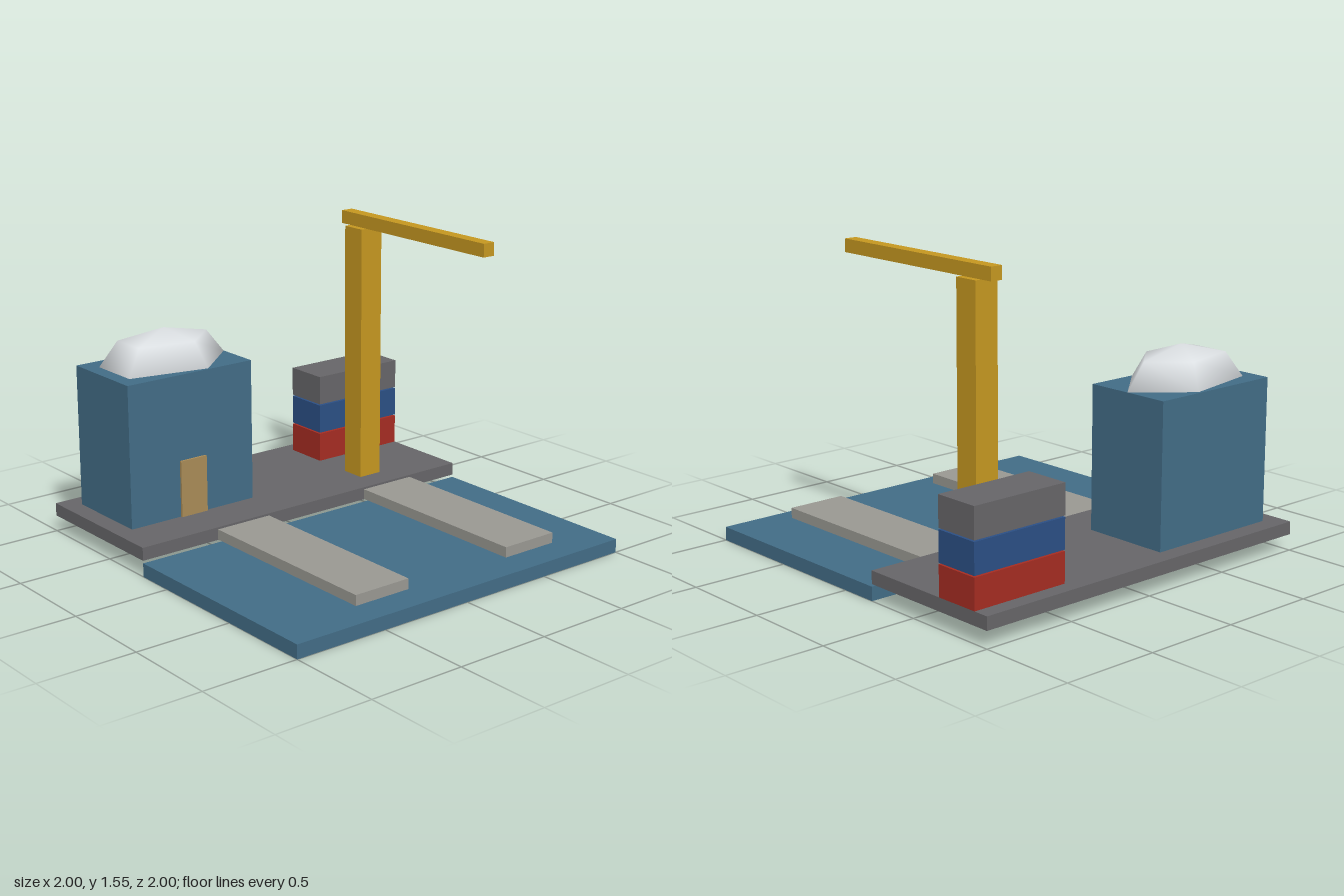
import * as THREE from 'three';

const paint = (name, color) => {
  const m = new THREE.MeshStandardMaterial({ color });
  m.name = name;
  return m;
};

export function createModel() {
  const harbor = new THREE.Group();
  harbor.name = 'harbor';

  const seaBlue = paint('sea blue', 0x426c86);
  const asphalt = paint('asphalt grey', 0x666568);
  const concrete = paint('pale concrete', 0x999892);
  const yellow = paint('crane yellow', 0xc59720);
  const red = paint('container red', 0xa52c22);
  const blue = paint('container blue', 0x2b4f84);
  const wood = paint('door tan', 0xa88b57);
  const white = paint('dome white', 0xdadee1);

  // Box given by its extents on each axis
  const block = (name, material, [x0, x1], [y0, y1], [z0, z1], parent = harbor) => {
    const mesh = new THREE.Mesh(new THREE.BoxGeometry(x1 - x0, y1 - y0, z1 - z0), material);
    mesh.position.set((x0 + x1) / 2, (y0 + y1) / 2, (z0 + z1) / 2);
    mesh.name = name;
    parent.add(mesh);
    return mesh;
  };

  // Water and quay
  block('water', seaBlue, [-1, 1], [0, 0.07], [-0.2, 1]);
  block('quay', asphalt, [-1, 1], [0.083, 0.149], [-1, -0.2]);

  // Two piers reaching over the water
  for (const [name, x] of [['rightPier', -0.402], ['leftPier', 0.533]]) {
    block(name, concrete, [x - 0.157, x + 0.157], [0.085, 0.138], [-0.2, 0.863]);
  }

  // Harbor building with door and five-sided dome
  const building = new THREE.Group();
  building.name = 'building';
  harbor.add(building);
  block('walls', seaBlue, [-0.905, -0.17], [0.149, 0.882], [-0.903, -0.438], building);
  block('door', wood, [-0.614, -0.46], [0.149, 0.442], [-0.44, -0.426], building);
  const dome = new THREE.Mesh(
    new THREE.SphereGeometry(1, 5, 2, 0, Math.PI * 2, 0, Math.PI / 2), white);
  dome.name = 'dome';
  dome.scale.set(0.366, 0.185, 0.232);
  dome.rotation.y = Math.PI;
  dome.position.set(-0.537, 0.881, -0.67);
  building.add(dome);

  // Crane
  const crane = new THREE.Group();
  crane.name = 'crane';
  harbor.add(crane);
  block('mast', yellow, [0.465, 0.597], [0.149, 1.482], [-0.468, -0.336], crane);
  block('boom', yellow, [0.498, 0.564], [1.482, 1.549], [-0.535, 0.532], crane);

  // Stacked containers
  const stack = new THREE.Group();
  stack.name = 'containerStack';
  harbor.add(stack);
  [['lowerContainer', red], ['middleContainer', blue], ['upperContainer', asphalt]]
    .forEach(([name, material], i) => {
      const y = 0.149 + i * 0.16;
      block(name, material, [0.465, 1], [y, y + 0.153], [-0.919, -0.681], stack);
    });

  return harbor;
}
